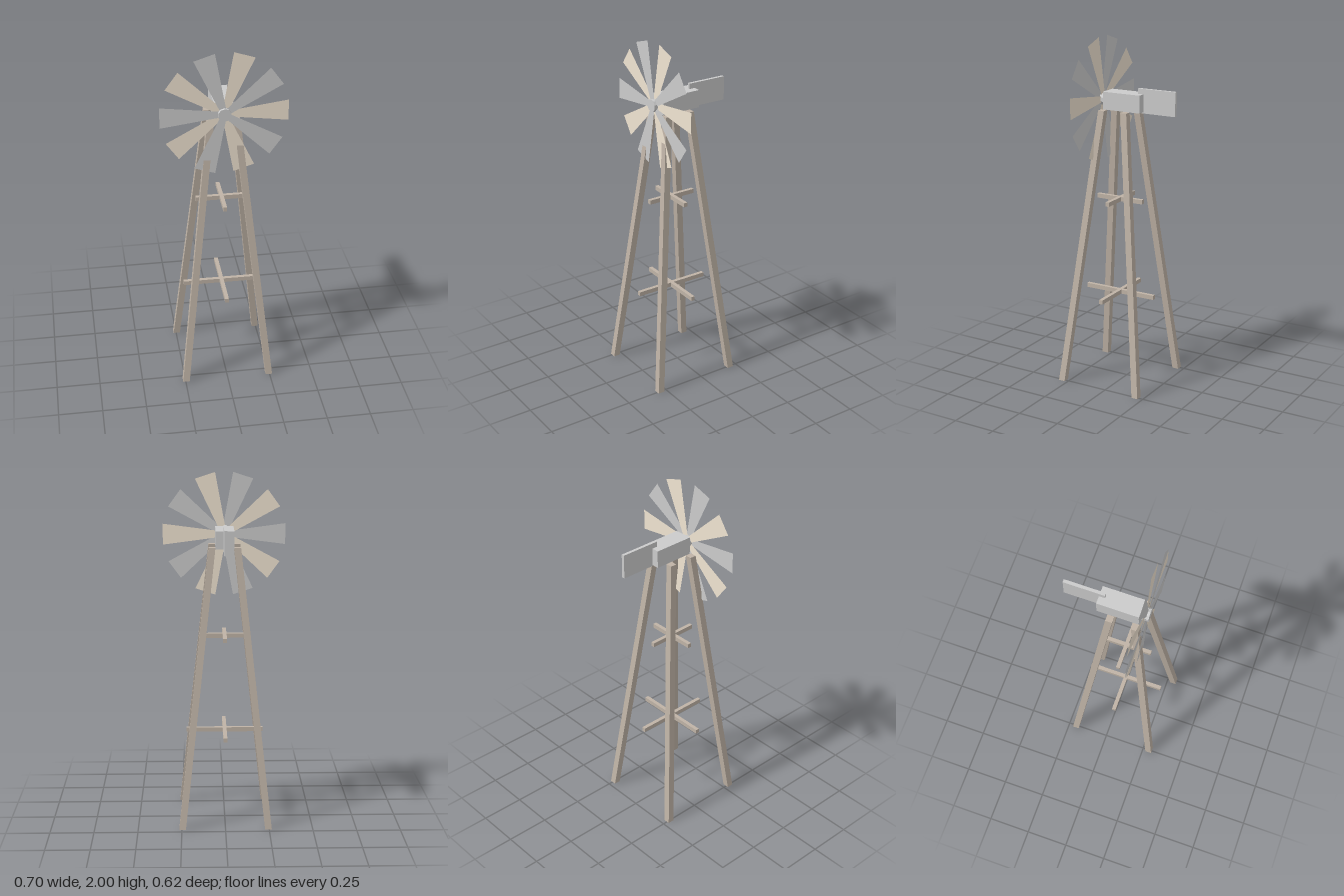
import * as THREE from 'three';

const grey = new THREE.MeshStandardMaterial({ color: 0xcccccc, flatShading: true });
const wood = new THREE.MeshStandardMaterial({ color: 0xbfb3a6, flatShading: true });
const greyBlade = new THREE.MeshStandardMaterial({ color: 0xcccccc, side: THREE.DoubleSide });
const tanBlade = new THREE.MeshStandardMaterial({ color: 0xf0e4d2, side: THREE.DoubleSide });

const AXIS_Z = 0.0425;   // tower centre line
const HUB_Y = 1.65;      // rotor axis height
const LEG_H = 1.6;

function add(parent, name, geometry, material, x = 0, y = 0, z = 0) {
  const mesh = new THREE.Mesh(geometry, material);
  mesh.name = name;
  mesh.position.set(x, y, z);
  parent.add(mesh);
  return mesh;
}

// Square post sheared toward the tower axis, with level ends
function legGeometry(sx, sz) {
  const g = new THREE.BoxGeometry(0.038, LEG_H, 0.038).translate(0, LEG_H / 2, 0);
  const p = g.attributes.position;
  for (let i = 0; i < p.count; i++) {
    const spread = THREE.MathUtils.lerp(0.246, 0.0715, p.getY(i) / LEG_H);
    p.setX(i, p.getX(i) + sx * spread);
    p.setZ(i, p.getZ(i) + sz * spread);
  }
  g.computeVertexNormals();
  return g;
}

export function createModel() {
  const model = new THREE.Group();
  model.name = 'windPump';

  // Tower: four splayed legs and two levels of crossed braces
  const tower = new THREE.Group();
  tower.name = 'tower';
  tower.position.z = AXIS_Z;
  model.add(tower);
  for (const sx of [-1, 1]) {
    for (const sz of [-1, 1]) {
      add(tower, `${sz > 0 ? 'front' : 'back'}${sx > 0 ? 'Left' : 'Right'}Leg`, legGeometry(sx, sz), wood);
    }
  }
  for (const [level, y, length] of [['lower', 0.522, 0.445], ['upper', 1.082, 0.294]]) {
    add(tower, `${level}SideBrace`, new THREE.BoxGeometry(length, 0.025, 0.022), wood, 0, y);
    add(tower, `${level}DepthBrace`, new THREE.BoxGeometry(0.022, 0.025, length), wood, 0, y);
  }

  // Gearbox and tail vane
  add(model, 'gearbox', new THREE.BoxGeometry(0.104, 0.1, 0.235), grey, 0, HUB_Y, 0.0075);
  add(model, 'tailVane', new THREE.BoxGeometry(0.018, 0.137, 0.233), grey, 0, 1.662, -0.1925);

  // Rotor: hub and ten flat tapered blades in two close layers
  const rotor = new THREE.Group();
  rotor.name = 'rotor';
  rotor.position.y = HUB_Y;
  model.add(rotor);
  add(rotor, 'hub', new THREE.CylinderGeometry(0.037, 0.037, 0.047, 10).rotateX(Math.PI / 2), grey, 0, 0, 0.148);
  const outline = new THREE.Shape([[0.03, -0.018], [0.35, -0.06], [0.35, 0.06], [0.03, 0.018]]
    .map(([x, y]) => new THREE.Vector2(x, y)));
  const bladeGeometry = new THREE.ShapeGeometry(outline);
  for (let i = 0; i < 10; i++) {
    const odd = i % 2 === 1;
    const blade = add(rotor, 'blade', bladeGeometry, odd ? greyBlade : tanBlade, 0, 0, odd ? 0.157 : 0.149);
    blade.rotation.z = (i * Math.PI) / 5;
  }
  return model;
}
